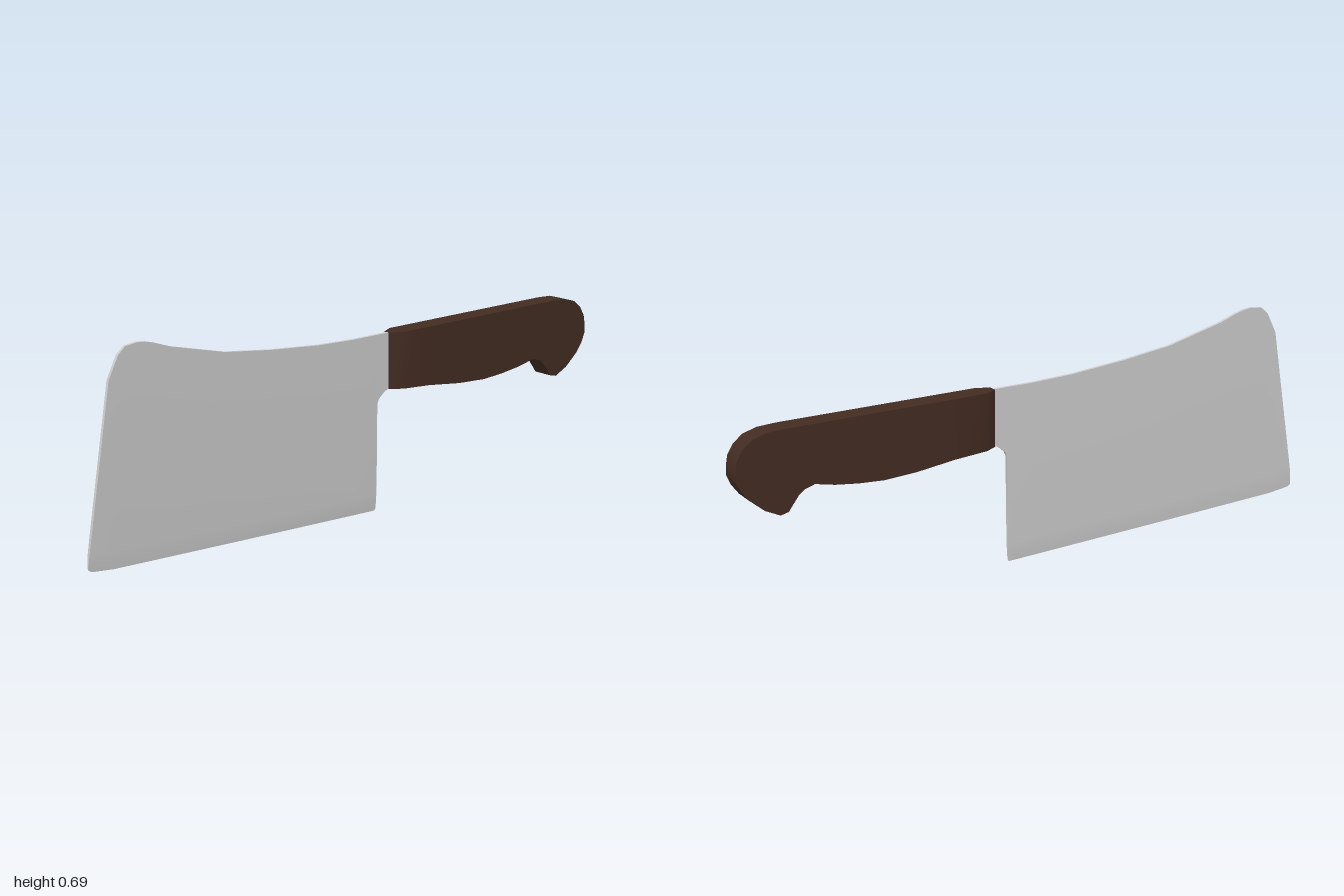
import * as THREE from 'three';
import { toCreasedNormals } from 'three/addons/utils/BufferGeometryUtils.js';

// Linear interpolation along a polyline of [z, y] pairs with rising z
function sample(line, z) {
  for (let i = 1; i < line.length; i++) {
    const [z0, y0] = line[i - 1], [z1, y1] = line[i];
    if (z <= z1) return y0 + (y1 - y0) * Math.max(0, (z - z0) / (z1 - z0));
  }
  return line[line.length - 1][1];
}

// Lofts a mirrored slab along z between an upper and a lower outline.
// lifts: heights of extra rows above the lower outline; half(y, z): half thickness
function loft(upper, lower, lifts, half) {
  const stations = [...new Set([...upper, ...lower].map(p => p[0]))].sort((a, b) => a - b);
  const pos = [], index = [];
  const n = (lifts.length + 2) * 2;
  for (const z of stations) {
    const top = sample(upper, z), low = sample(lower, z);
    const rows = [top, ...lifts.map(l => Math.min(top, low + l)), low];
    rows.forEach(y => pos.push(half(y, z), y, z));
    rows.reverse().forEach(y => pos.push(-half(y, z), y, z));
  }
  const last = (stations.length - 1) * n;
  for (let i = 0; i < last; i += n) {
    for (let j = 0; j < n; j++) {
      const k = (j + 1) % n;
      index.push(i + j, i + n + j, i + n + k, i + j, i + n + k, i + k);
    }
  }
  for (let j = 1; j < n - 1; j++) {
    index.push(0, j, j + 1, last, last + j + 1, last + j);
  }
  const geo = new THREE.BufferGeometry();
  geo.setAttribute('position', new THREE.Float32BufferAttribute(pos, 3));
  geo.setIndex(index);
  return toCreasedNormals(geo, 0.5);
}

function addPart(group, name, geometry, color) {
  const mesh = new THREE.Mesh(geometry, new THREE.MeshStandardMaterial({ color }));
  mesh.name = name;
  group.add(mesh);
}

export function createModel() {
  const group = new THREE.Group();
  group.name = 'cleaver';

  // Blade: thin plate, ground down to a sharp lower edge
  const spine = [[-0.15, 0.572], [0, 0.572], [0.14, 0.577], [0.326, 0.593], [0.5, 0.615],
    [0.695, 0.663], [0.754, 0.684], [0.785, 0.692], [0.813, 0.695], [0.855, 0.69],
    [0.88, 0.668], [0.914, 0.6], [0.998, 0.1], [1, 0.075]];
  const edge = [[-0.15, 0.393], [-0.14, 0.392], [-0.125, 0.386], [-0.112, 0.376], [-0.1, 0.365],
    [-0.094, 0.35], [-0.092, 0.12], [-0.091, 0.04], [-0.09, 0.01], [-0.086, 0.004],
    [0, 0.007], [0.46, 0.025], [0.914, 0.044], [0.99, 0.053], [1, 0.06]];
  const grind = [[0, 0.0008], [0.025, 0.0034], [0.06, 0.005]];
  const bladeHalf = (y, z) => sample(grind, y - (0.007 + 0.046 * z));
  addPart(group, 'blade', loft(spine, edge, [0.06, 0.025], bladeHalf), 0xcccccc);

  // Handle: flat-sided grip with a hooked butt, narrowing where it meets the blade
  const gripTop = [[-1, 0.47], [-0.994, 0.502], [-0.975, 0.533], [-0.945, 0.557],
    [-0.9, 0.57], [-0.84, 0.573], [-0.18, 0.573], [-0.14, 0.573]];
  const gripBottom = [[-1, 0.44], [-0.987, 0.41], [-0.963, 0.378], [-0.914, 0.337],
    [-0.866, 0.314], [-0.84, 0.32], [-0.807, 0.364], [-0.786, 0.38], [-0.754, 0.39],
    [-0.69, 0.376], [-0.61, 0.366], [-0.53, 0.361], [-0.42, 0.367], [-0.29, 0.383],
    [-0.18, 0.391], [-0.14, 0.392]];
  const gripWidth = [[-1, 0.034], [-0.18, 0.034], [-0.14, 0.013]];
  addPart(group, 'handle', loft(gripTop, gripBottom, [], (y, z) => sample(gripWidth, z)), 0x432c22);

  return group;
}
